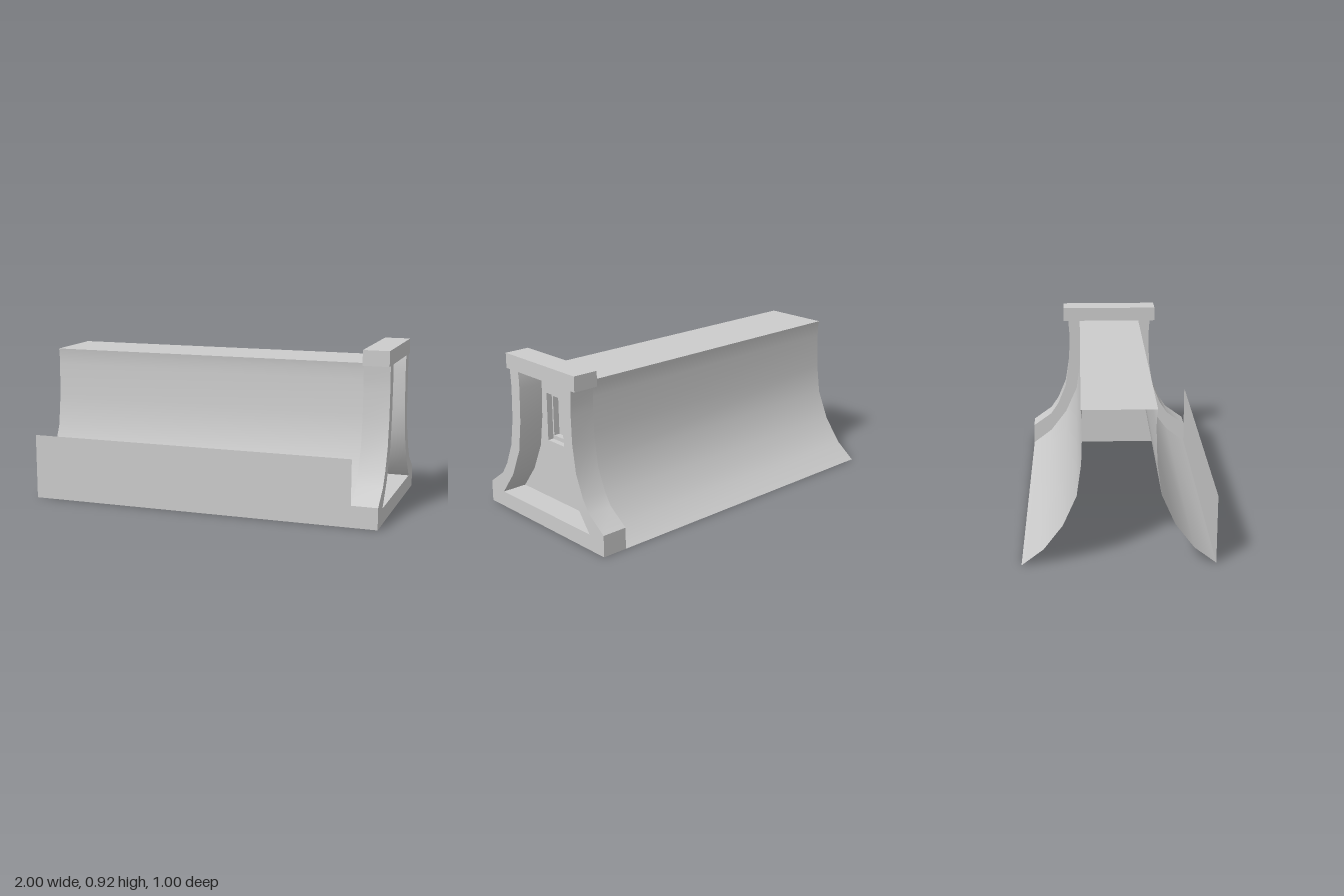
import * as THREE from 'three';
import { toCreasedNormals } from 'three/addons/utils/BufferGeometryUtils.js';

const X0 = -1, X1 = 0.855, X2 = 1; // open end, end wall, frame face
const ROOF = 0.833;

// Half profiles as [z, y], top to bottom
const INNER = [[0.19, ROOF], [0.185, 0.8], [0.183, 0.74], [0.19, 0.55], [0.214, 0.38], [0.285, 0.22], [0.385, 0.088], [0.5, 0]];
const OUTER = [[0.264, ROOF], [0.258, 0.75], [0.258, 0.7], [0.263, 0.55], [0.287, 0.395], [0.338, 0.273], [0.385, 0.203], [0.5, 0.12]];

const material = new THREE.MeshStandardMaterial({ color: 0xcccccc, side: THREE.DoubleSide });

const toShape = (points) => new THREE.Shape(points.map(([z, y]) => new THREE.Vector2(z, y)));
const mirrored = (points) => points.map(([z, y]) => [-z, y]);
const rect = (w, y0, y1) => [[-w, y0], [w, y0], [w, y1], [-w, y1]];

// Shape drawn in z/y, pushed along x from xa to xb
function extrudeX(shape, xa, xb) {
  const geo = new THREE.ExtrudeGeometry(shape, { depth: xb - xa, bevelEnabled: false });
  geo.rotateY(Math.PI / 2).translate(xa, 0, 0);
  return toCreasedNormals(geo, 0.6);
}

// Flat shape in z/y facing +x
function flatX(shape, x) {
  return new THREE.ShapeGeometry(shape).rotateY(Math.PI / 2).translate(x, 0, 0);
}

// Curved sheet following the inner profile
function curvedSide(length) {
  const geo = new THREE.PlaneGeometry(length, 1, 1, INNER.length - 1);
  const pos = geo.attributes.position;
  for (let i = 0; i < pos.count; i++) {
    const [z, y] = INNER[Math.floor(i / 2)];
    pos.setXYZ(i, pos.getX(i), y, z);
  }
  geo.computeVertexNormals();
  return geo;
}

export function createModel() {
  const model = new THREE.Group();
  const add = (name, geo) => {
    const mesh = new THREE.Mesh(geo, material);
    mesh.name = name;
    model.add(mesh);
  };
  const length = X1 - X0, mid = (X0 + X1) / 2;

  // Long body: two curved sides, a flat top and a thin front wall
  add('frontCurvedSide', curvedSide(length).translate(mid, 0, 0));
  add('backCurvedSide', curvedSide(length).rotateY(Math.PI).translate(mid, 0, 0));
  add('flatTop', new THREE.PlaneGeometry(length, 2 * INNER[0][0]).rotateX(-Math.PI / 2).translate(mid, ROOF, 0));
  add('frontWall', new THREE.PlaneGeometry(length, 0.37).translate(mid, 0.185, 0.5));

  // End frame: flared posts, sill and cap
  const post = [...OUTER, ...[...INNER].reverse()];
  add('leftPost', extrudeX(toShape(post), X1, X2));
  add('rightPost', extrudeX(toShape(mirrored(post)), X1, X2));
  add('sill', extrudeX(toShape([[-0.5, 0], [0.5, 0], [0.385, 0.088], [-0.385, 0.088]]), X1, X2));
  add('cap', new THREE.BoxGeometry(X2 - X1, 0.084, 0.59).translate((X1 + X2) / 2, ROOF + 0.042, 0));

  // End wall with a stepped window recess
  const opening = rect(0.144, 0.425, 0.697), pane = rect(0.134, 0.447, 0.673);
  const wall = toShape([...INNER, ...mirrored(INNER).reverse()]);
  wall.holes.push(toShape(opening));
  add('endWall', flatX(wall, X1));

  const lining = toShape(rect(0.148, 0.421, 0.701));
  lining.holes.push(toShape(opening));
  add('windowLining', extrudeX(lining, X1 - 0.035, X1 - 0.001));

  const frame = toShape(opening);
  frame.holes.push(toShape(pane));
  add('windowFrame', extrudeX(frame, X1 - 0.07, X1 - 0.035));
  add('windowPane', flatX(toShape(pane), X1 - 0.07));

  return model;
}
